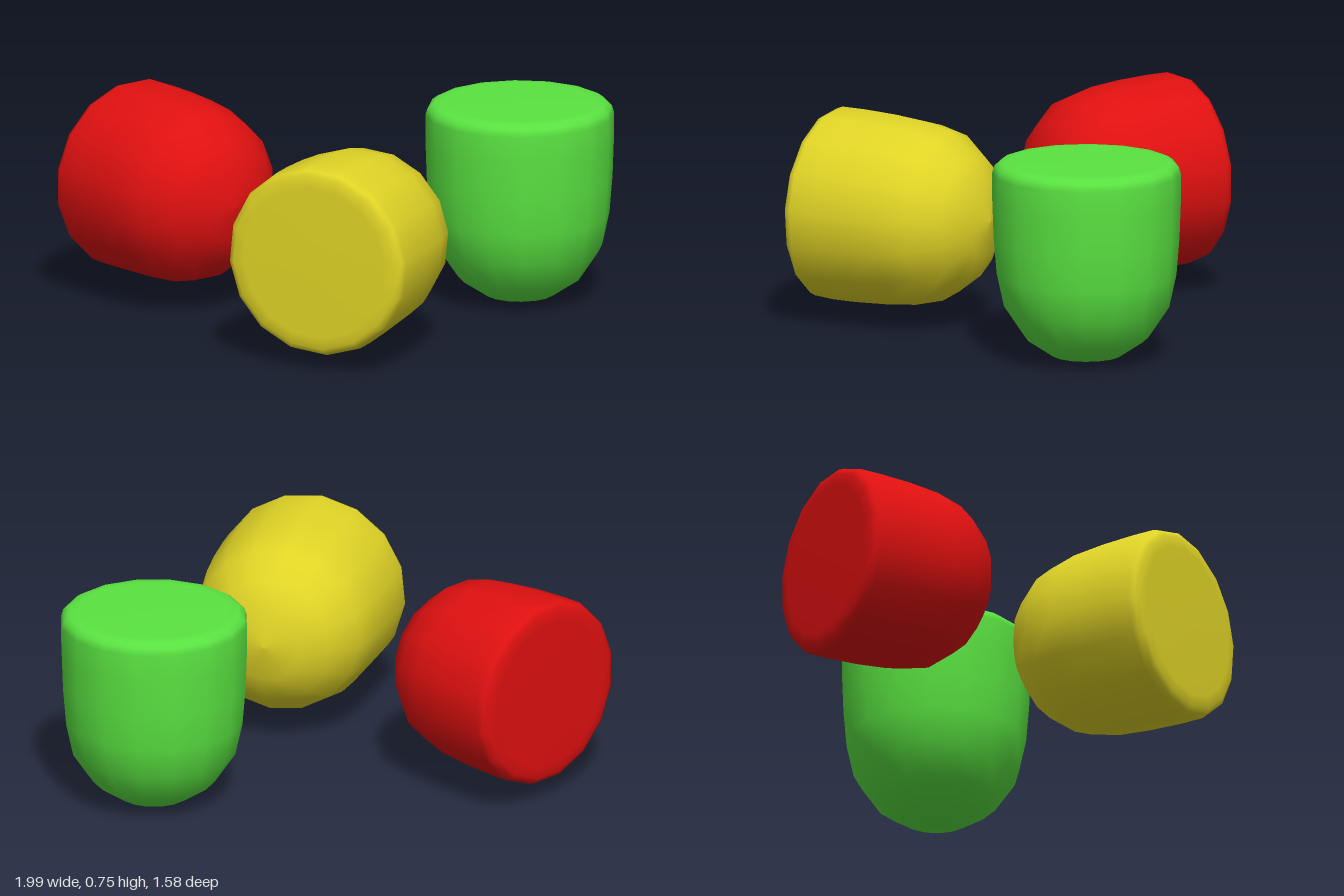
import * as THREE from 'three';

// Half profile of a drop: domed tip at the bottom, flat base at y = 0
const PROFILE = [
  [0, -0.732], [0.125, -0.71], [0.222, -0.645], [0.296, -0.535], [0.322, -0.415],
  [0.333, -0.28], [0.338, -0.14], [0.338, -0.045], [0.33, -0.02], [0.31, -0.006],
  [0.27, -0.001], [0, 0],
];

// One drop: base centre, outward direction of its flat base, width and length scale
function makeDrop(name, material, base, normal, width, length) {
  const points = PROFILE.map(([r, y]) => new THREE.Vector2(r * width, y * length));
  const mesh = new THREE.Mesh(new THREE.LatheGeometry(points, 16), material);
  mesh.name = name;
  mesh.position.set(...base);
  mesh.quaternion.setFromUnitVectors(
    new THREE.Vector3(0, 1, 0), new THREE.Vector3(...normal).normalize());
  return mesh;
}

export function createModel() {
  const paint = (name, color) => {
    const m = new THREE.MeshStandardMaterial({ color });
    m.name = name;
    return m;
  };
  const group = new THREE.Group();
  group.name = 'gumdrops';
  group.add(
    // Upright drop resting on its tip
    makeDrop('greenDrop', paint('green', 0x5ae341), [0.656, 0.735, -0.31], [0, 1, 0], 1, 1),
    // Two drops lying on their sides
    makeDrop('yellowDrop', paint('yellow', 0xe0d426), [-0.139, 0.405, 0.643], [-0.47, 0, 0.88], 1.03, 0.92),
    makeDrop('redDrop', paint('red', 0xe01010), [-0.728, 0.415, -0.62], [-0.56, 0, -0.83], 1.02, 0.865),
  );
  return group;
}
